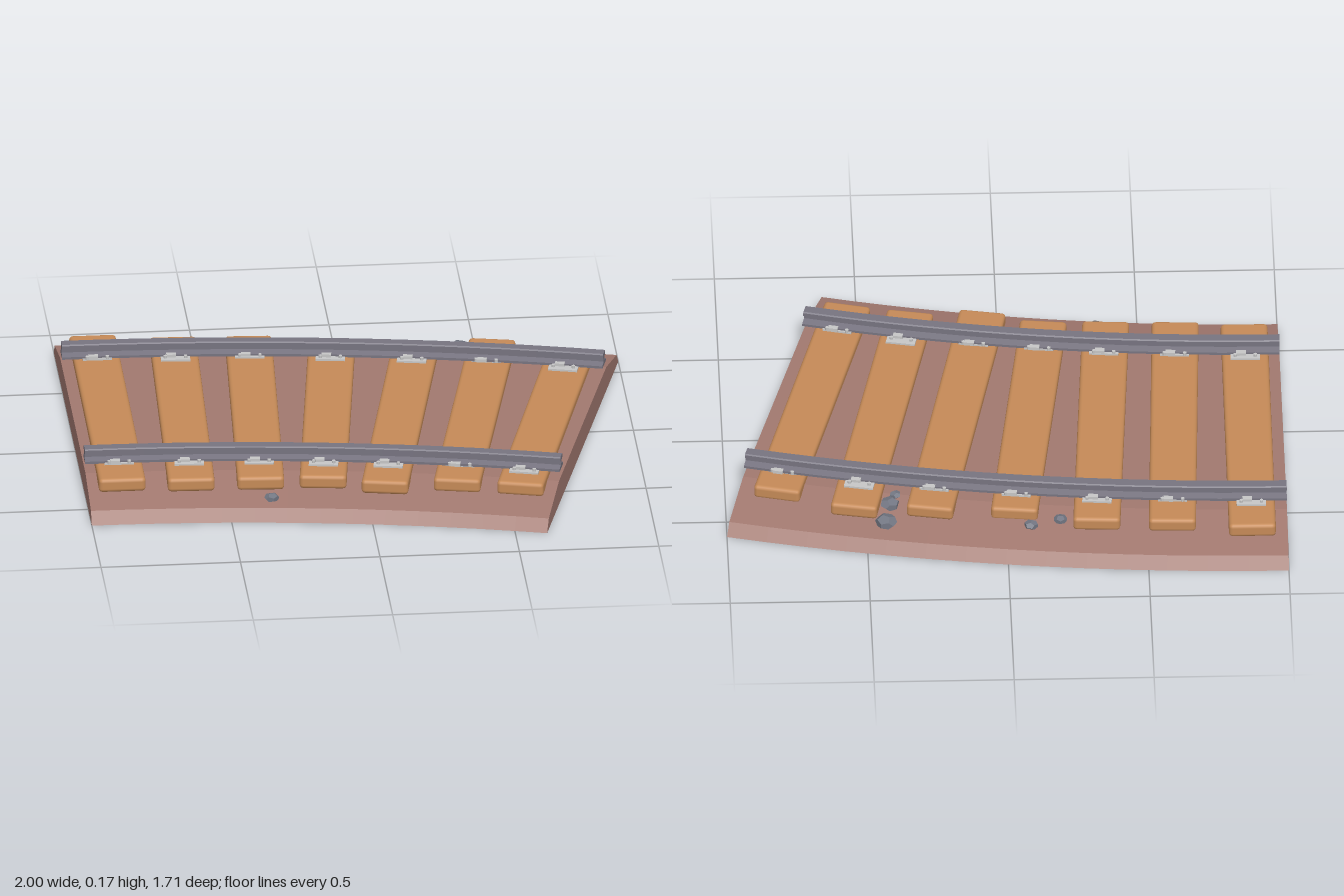
import * as THREE from 'three';
import { RoundedBoxGeometry } from 'three/addons/geometries/RoundedBoxGeometry.js';

const ARC = Math.PI / 12;          // the curve turns through 15 degrees
const CX = -1, CZ = 6.872;         // centre of the curve
const INNER = 6.232, OUTER = 7.727;
const RAILS = [6.53, 7.43];        // rail centre radii

const mat = (name, color) => {
  const m = new THREE.MeshStandardMaterial({ color });
  m.name = name;
  return m;
};

// Extrudes a [radius, y] profile and bends it along the track curve
function sweep(profile, steps) {
  const shape = new THREE.Shape(profile.map(([r, y]) => new THREE.Vector2(r, y)));
  const geo = new THREE.ExtrudeGeometry(shape, { depth: 1, steps, bevelEnabled: false });
  const p = geo.attributes.position;
  for (let i = 0; i < p.count; i++) {
    const r = p.getX(i), t = p.getZ(i) * ARC;
    p.setXYZ(i, CX + r * Math.sin(t), p.getY(i), CZ - r * Math.cos(t));
  }
  geo.computeVertexNormals();
  return geo;
}

export function createModel() {
  const model = new THREE.Group();
  model.name = 'curvedTrack';
  const earth = mat('earth', 0xa1786f);
  const wood = mat('wood', 0xc58a57);
  const steel = mat('steel', 0x777480);
  const plateMetal = mat('plateMetal', 0xc6c6c6);
  const stone = mat('stone', 0x737783);

  const add = (parent, name, geo, material, x = 0, y = 0, z = 0) => {
    const mesh = new THREE.Mesh(geo, material);
    mesh.name = name;
    mesh.position.set(x, y, z);
    parent.add(mesh);
    return mesh;
  };

  // Track bed with steep skirts and gentle shoulders
  add(model, 'trackBed', sweep([
    [INNER, 0], [OUTER, 0], [OUTER - 0.035, 0.042], [OUTER - 0.25, 0.092],
    [INNER + 0.25, 0.092], [INNER + 0.035, 0.042],
  ], 14), earth);

  // Rails: foot, web and head
  const half = [[0.036, 0.122], [0.036, 0.131], [0.009, 0.138], [0.009, 0.152],
    [0.022, 0.156], [0.022, 0.168], [0.018, 0.172]];
  for (const r of RAILS) {
    const profile = [
      ...half.map(([d, y]) => [r + d, y]),
      ...half.slice().reverse().map(([d, y]) => [r - d, y]),
    ];
    add(model, 'rail', sweep(profile, 16), steel);
  }

  // Sleepers: back end x, z, front end x, z, then the plate shift on each rail
  const sleepers = [
    [-0.873, -0.74, -0.878, 0.51, -0.01, -0.01],
    [-0.588, -0.70, -0.633, 0.53, 0.01, 0.015],
    [-0.318, -0.685, -0.385, 0.54, 0.005, -0.005],
    [-0.025, -0.615, -0.163, 0.55, 0.015, 0.01],
    [0.277, -0.595, 0.052, 0.615, 0.015, 0.01],
    [0.548, -0.58, 0.31, 0.622, -0.02, -0.02],
    [0.82, -0.468, 0.532, 0.672, 0.01, 0.02],
  ];
  const plateGeo = new THREE.BoxGeometry(0.105, 0.008, 0.105);
  const clipGeo = new THREE.BoxGeometry(0.035, 0.012, 0.02);
  const boltGeo = new THREE.CylinderGeometry(0.007, 0.007, 0.012, 6);

  sleepers.forEach(([x0, z0, x1, z1, ...shifts]) => {
    const dx = x1 - x0, dz = z1 - z0;
    const geo = new RoundedBoxGeometry(0.168, 0.052, Math.hypot(dx, dz), 2, 0.014);
    const sleeper = add(model, 'sleeper', geo, wood, (x0 + x1) / 2, 0.092, (z0 + z1) / 2);
    sleeper.rotation.y = Math.atan2(dx, dz);

    // Fastening plates where the sleeper meets each rail
    RAILS.forEach((r, i) => {
      let k = 0.5, t = 0;
      for (let n = 0; n < 6; n++) {
        t = Math.asin((x0 + dx * k - CX) / r);
        k = (CZ - r * Math.cos(t) - z0) / dz;
      }
      const fastening = new THREE.Group();
      fastening.name = 'railFastening';
      fastening.position.set(CX + r * Math.sin(t), 0.121, CZ - r * Math.cos(t));
      fastening.rotation.y = -t;
      model.add(fastening);
      add(fastening, 'plate', plateGeo, plateMetal, 0, 0, shifts[i]);
      for (const s of [-1, 1]) {
        add(fastening, 'clip', clipGeo, plateMetal, -0.015 * s, 0.008, s * 0.036);
        for (const bx of [-0.036, 0.036]) {
          add(fastening, 'bolt', boltGeo, plateMetal, bx, 0.007, s * 0.043 + shifts[i] * 0.4);
        }
      }
    });
  });

  // Loose stones on the shoulders: x, y, z, radius
  const stones = [
    [-0.19, 0.082, -0.63, 0.025], [-0.085, 0.075, -0.652, 0.026],
    [0.432, 0.072, -0.612, 0.04], [0.416, 0.085, -0.522, 0.036],
    [0.396, 0.092, -0.477, 0.022], [-0.35, 0.06, 0.587, 0.027],
  ];
  stones.forEach(([x, y, z, r], i) => {
    const rock = add(model, 'stone', new THREE.DodecahedronGeometry(r), stone, x, y, z);
    rock.scale.y = 0.6;
    rock.rotation.y = i * 1.3;
  });

  return model;
}
